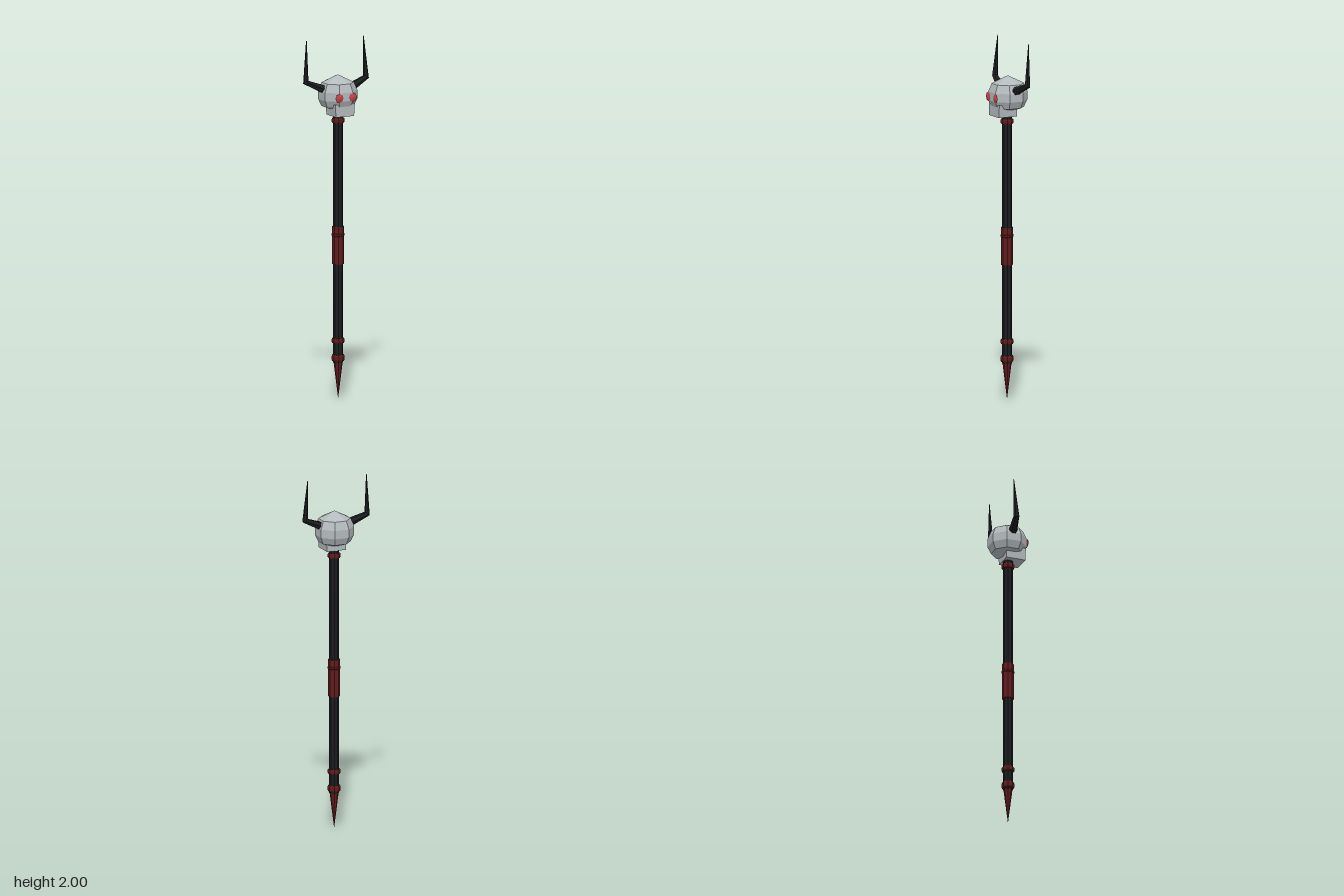
import * as THREE from 'three';

const mat = (name, color, side = THREE.FrontSide) => {
  const m = new THREE.MeshStandardMaterial({ color, side });
  m.name = name;
  return m;
};

// Gives every face its own normal for crisp facets
function faceted(geometry) {
  const g = geometry.index ? geometry.toNonIndexed() : geometry;
  g.computeVertexNormals();
  return g;
}

// Eight-sided turned part; profile of [radius, y] listed from bottom to top
function turned(profile) {
  const pts = profile.map(([r, y]) => new THREE.Vector2(r, y));
  return faceted(new THREE.LatheGeometry(pts, 8, Math.PI / 8));
}

// Joins round cross-sections [x, y, z, radius] along a bent path, with capped ends
function bentHorn(stations, sides = 6) {
  const c = stations.map(([x, y, z]) => new THREE.Vector3(x, y, z));
  const pos = [], idx = [];
  const last = c.length - 1;
  c.forEach((p, i) => {
    const t = new THREE.Vector3();
    if (i > 0) t.add(p.clone().sub(c[i - 1]).normalize());
    if (i < last) t.add(c[i + 1].clone().sub(p).normalize());
    t.normalize();
    const u = new THREE.Vector3(0, 0, 1).addScaledVector(t, -t.z).normalize();
    const v = t.clone().cross(u);
    for (let k = 0; k < sides; k++) {
      const a = (k / sides) * Math.PI * 2;
      const q = p.clone()
        .addScaledVector(u, Math.cos(a) * stations[i][3])
        .addScaledVector(v, Math.sin(a) * stations[i][3]);
      pos.push(q.x, q.y, q.z);
    }
  });
  for (let i = 0; i < last; i++) {
    for (let k = 0; k < sides; k++) {
      const a = i * sides + k, b = i * sides + (k + 1) % sides;
      idx.push(a, b, b + sides, a, b + sides, a + sides);
    }
  }
  for (let k = 1; k < sides - 1; k++) {
    const e = last * sides;
    idx.push(0, k + 1, k, e, e + k, e + k + 1);
  }
  const g = new THREE.BufferGeometry();
  g.setAttribute('position', new THREE.Float32BufferAttribute(pos, 3));
  g.setIndex(idx);
  return faceted(g);
}

export function createModel() {
  const group = new THREE.Group();
  group.name = 'skullStaff';
  const bone = mat('bone', 0xb4babd);
  const black = mat('black', 0x1c1d1f);
  const darkRed = mat('darkRed', 0x611c1e);
  const eyeRed = mat('eyeRed', 0xc2454d, THREE.DoubleSide);

  const add = (name, geometry, material, x = 0, y = 0, z = 0) => {
    const m = new THREE.Mesh(geometry, material);
    m.name = name;
    m.position.set(x, y, z);
    group.add(m);
    return m;
  };

  // Shaft and its fittings
  add('shaft', turned([[0, 0.2], [0.027, 0.2], [0.027, 1.61], [0, 1.61]]), black);
  add('spike', turned([[0, 0], [0.026, 0.21], [0, 0.21]]), darkRed);
  add('grip', turned([[0, 0.75], [0.033, 0.75], [0.033, 0.96], [0, 0.96]]), darkRed);
  const rings = [['spikeCollar', 0.227, 0.036], ['lowerRing', 0.323, 0.028],
    ['gripRing', 0.913, 0.018], ['upperCollar', 1.55, 0.028]];
  for (const [name, y, h] of rings) {
    add(name, turned([[0.025, -h / 2], [0.032, -h / 2], [0.036, -h / 4],
      [0.036, h / 4], [0.032, h / 2], [0.025, h / 2]]), darkRed, 0, y);
  }

  // Skull
  add('cranium', turned([[0, -0.095], [0.089, -0.065], [0.108, -0.025],
    [0.108, 0.022], [0.089, 0.067], [0, 0.11]]), bone, 0, 1.695, -0.005);

  // Jaw, slightly narrower at the bottom
  const jaw = new THREE.BoxGeometry(0.122, 0.07, 0.112);
  const p = jaw.attributes.position;
  for (let i = 0; i < p.count; i++) if (p.getY(i) < 0) p.setX(i, p.getX(i) * 0.92);
  add('jaw', faceted(jaw), bone, 0, 1.617, 0.025);

  for (const s of [1, -1]) {
    const side = s > 0 ? 'left' : 'right';
    // Shallow faceted eye
    const eye = new THREE.ConeGeometry(0.025, 0.007, 8);
    eye.rotateX(Math.PI / 2);
    add(side + 'Eye', faceted(eye), eyeRed, s * 0.042, 1.689, 0.0985);
    // Horn: out to the elbow, then straight up to the point
    add(side + 'Horn', bentHorn([
      [s * 0.082, 1.727, -0.006, 0.025],
      [s * 0.187, 1.773, -0.026, 0.017],
      [s * 0.177, 2, -0.038, 0.002],
    ]), black);
  }
  return group;
}
